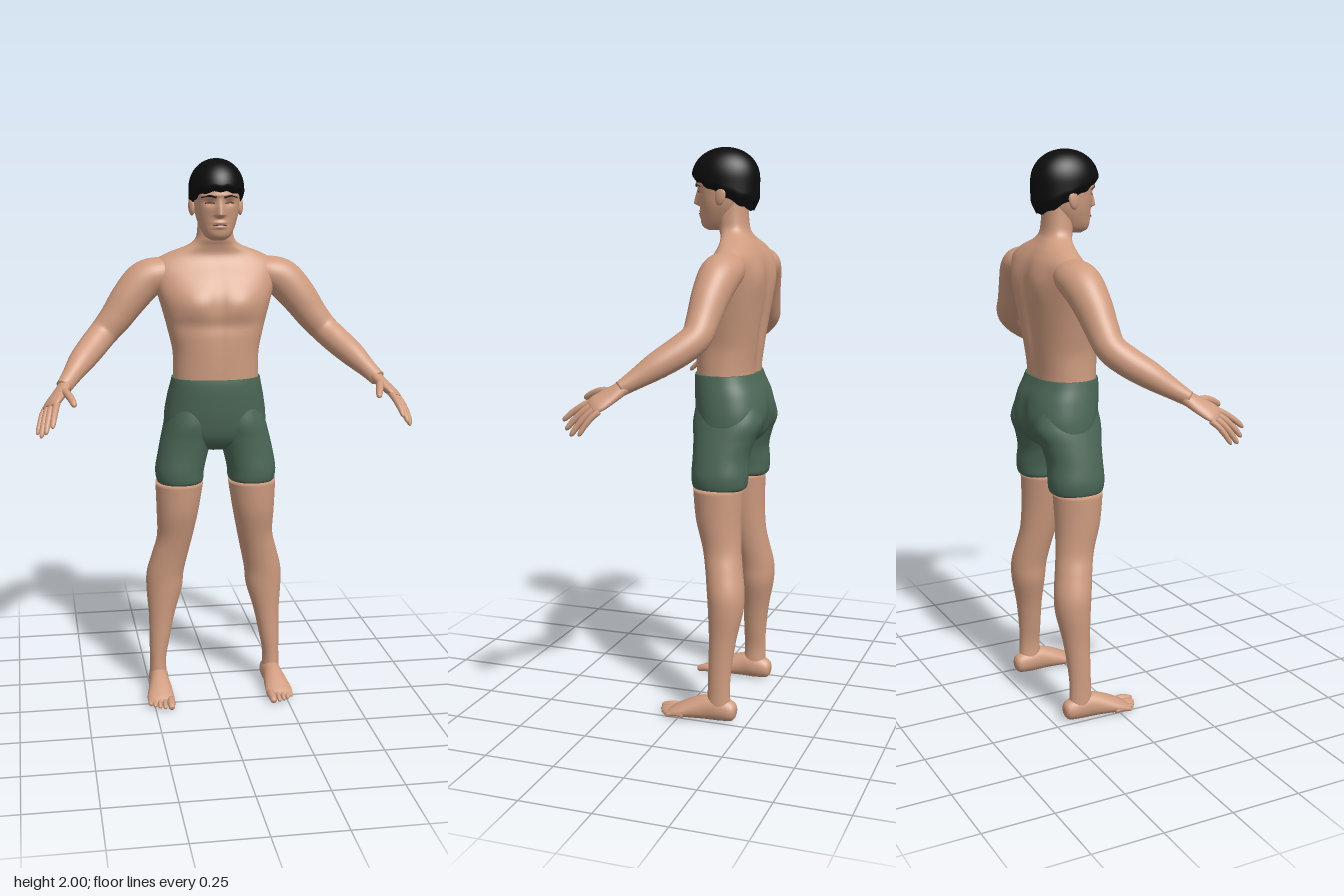
import * as THREE from 'three';

const mat = (name, color) => Object.assign(new THREE.MeshStandardMaterial({ color }), { name });
const gauss = (d, w) => Math.exp(-((d / w) ** 2));
const power = (v, n) => Math.sign(v) * Math.abs(v) ** (2 / n);

// Smooth closed skin over rows x cols points given by f(t, angle), with capped ends
function skin(rows, cols, f) {
  const pos = [], idx = [], point = new THREE.Vector3();
  for (let i = 0; i <= rows; i++) for (let j = 0; j < cols; j++) {
    point.copy(f(i / rows, (j / cols) * Math.PI * 2));
    pos.push(point.x, point.y, point.z);
  }
  for (let i = 0; i < rows; i++) for (let j = 0; j < cols; j++) {
    const k = (j + 1) % cols, a = i * cols + j, b = a + cols, c = i * cols + k, d = c + cols;
    idx.push(a, b, c, b, d, c);
  }
  for (const row of [0, rows]) {
    const centre = new THREE.Vector3(), pole = pos.length / 3, start = row * cols;
    for (let j = 0; j < cols; j++) centre.add(point.fromArray(pos, (start + j) * 3));
    centre.divideScalar(cols);
    pos.push(centre.x, centre.y, centre.z);
    for (let j = 0; j < cols; j++) {
      const a = start + j, b = start + (j + 1) % cols;
      if (row) idx.push(a, pole, b); else idx.push(a, b, pole);
    }
  }
  const g = new THREE.BufferGeometry();
  g.setAttribute('position', new THREE.Float32BufferAttribute(pos, 3));
  g.setIndex(idx);
  g.computeVertexNormals();
  return g;
}

// Catmull-Rom interpolation of whole cross-section rows
function sample(sections, t) {
  const n = sections.length - 1, p = t * n, i = Math.min(Math.floor(p), n - 1), u = p - i;
  const at = k => sections[Math.max(0, Math.min(n, k))];
  return at(i).map((b, k) => {
    const a = at(i - 1)[k], c = at(i + 1)[k], d = at(i + 2)[k];
    return b + 0.5 * u * (c - a + u * (2 * a - 5 * b + 4 * c - d + u * (3 * (b - c) + d - a)));
  });
}

// Level cross-sections [x, y, z, halfWidth, halfDepth], listed from bottom to top
function body(sections, { s = 1, n = 2, rows = 48, cols = 48, shape } = {}) {
  return skin(rows, cols, (t, angle) => {
    const [x, y, z, a, b] = sample(sections, t);
    const v = new THREE.Vector3(s * x + a * power(Math.cos(angle), n), y, z + b * power(Math.sin(angle), n));
    if (shape) shape(v, Math.sin(angle));
    return v;
  });
}

// Cross-sections [x, y, z, a, b] square to their own path; a lies along ref
function limb(sections, ref, s = 1, rows = 32, cols = 28) {
  const centre = t => {
    const [x, y, z] = sample(sections, t);
    return new THREE.Vector3(s * x, y, z);
  };
  return skin(rows, cols, (t, angle) => {
    const [, , , a, b] = sample(sections, t);
    const T = centre(Math.min(1, t + 0.01)).sub(centre(Math.max(0, t - 0.01))).normalize();
    const N = new THREE.Vector3(s * ref[0], ref[1], ref[2]);
    N.addScaledVector(T, -N.dot(T)).normalize();
    const B = new THREE.Vector3().crossVectors(N, T);
    return centre(t).addScaledVector(N, a * Math.cos(angle)).addScaledVector(B, b * Math.sin(angle));
  });
}

// Tapered round finger or toe
function digit(base, tip, r, s, bend = 0.006) {
  const row = (t, k) => [
    ...base.map((v, i) => v + (tip[i] - v) * t + (i === 1 ? bend * Math.sin(t * Math.PI) : 0)), r * k, r * k];
  return limb([row(0, 1), row(0.35, 1), row(0.7, 0.9), row(0.93, 0.72), row(1, 0.25)], [1, 0, 0.3], s, 14, 12);
}

// Profile rows [y, halfWidth, front z, back z] as level cross-sections
const profile = rows => rows.map(([y, w, f, b]) => [0, y, (f + b) / 2, w, (f - b) / 2]);

export function createModel() {
  const model = new THREE.Group();
  const skinTone = mat('skin', 0xcf9c80), cloth = mat('shortsGreen', 0x4b6756);
  const black = mat('hairBlack', 0x0c0c0c), crease = mat('faceCrease', 0x6a4436);
  const add = (name, geometry, material = skinTone) => {
    const mesh = new THREE.Mesh(geometry, material);
    mesh.name = name;
    model.add(mesh);
    return mesh;
  };

  // Torso and neck with chest muscles and a spine groove
  add('torso', body(profile([
    [1.19, 0.156, -0.004, -0.212], [1.25, 0.155, -0.002, -0.215], [1.32, 0.157, 0, -0.225],
    [1.39, 0.172, 0, -0.235], [1.46, 0.19, 0, -0.245], [1.52, 0.207, -0.01, -0.25],
    [1.58, 0.222, -0.04, -0.248], [1.63, 0.225, -0.075, -0.235], [1.665, 0.175, -0.09, -0.215],
    [1.695, 0.1, -0.085, -0.192], [1.72, 0.07, -0.075, -0.178], [1.76, 0.063, -0.07, -0.172],
    [1.82, 0.06, -0.07, -0.17],
  ]), { n: 2.3, rows: 72, cols: 72, shape(v, side) {
    if (side > 0) {
      v.z += side * 0.014 * gauss(Math.abs(v.x) - 0.085, 0.06) * gauss(v.y - 1.495, 0.05);
      v.z -= side * 0.008 * gauss(v.x, 0.02) * gauss(v.y - 1.45, 0.14);
      v.z -= side * 0.006 * gauss(v.y - 1.42, 0.025);
    } else {
      v.z -= side * 0.02 * gauss(v.x, 0.028) * gauss(v.y - 1.42, 0.17);
      v.z += side * 0.008 * gauss(Math.abs(v.x) - 0.1, 0.045) * gauss(v.y - 1.56, 0.06);
    }
  } }));

  // Head with sockets, nose, lips and chin
  add('head', body(profile([
    [1.718, 0.02, -0.03, -0.07], [1.728, 0.04, -0.012, -0.11], [1.745, 0.053, -0.004, -0.13],
    [1.775, 0.066, -0.003, -0.15], [1.805, 0.075, 0, -0.165], [1.84, 0.08, 0.006, -0.175],
    [1.88, 0.083, 0.01, -0.18], [1.92, 0.08, 0.005, -0.18], [1.96, 0.055, -0.03, -0.15],
  ]), { n: 2.1, rows: 80, cols: 96, shape(v, side) {
    if (side < 0.3) return;
    const { x, y } = v;
    const ramp = y > 1.808 ? Math.max(0, (1.868 - y) / 0.06) : Math.max(0, 1 - (1.808 - y) / 0.012);
    v.z += 0.026 * gauss(x, 0.009 + 0.005 * ramp) * ramp;
    v.z -= 0.01 * gauss(Math.abs(x) - 0.034, 0.018) * gauss(y - 1.85, 0.012);
    v.z += 0.004 * gauss(y - 1.875, 0.008);
    v.z += 0.007 * gauss(x, 0.022) * (gauss(y - 1.781, 0.006) + gauss(y - 1.766, 0.006));
  } }));
  add('mouth', limb([
    [-0.024, 1.772, -0.003, 0.002, 0.002], [0, 1.774, 0.003, 0.002, 0.003], [0.024, 1.772, -0.003, 0.002, 0.002],
  ], [0, 1, 0], 1, 12, 8), crease);

  // Short hair, its edge high at the brow and low at the nape
  add('hair', skin(40, 72, (t, angle) => {
    const front = Math.sin(angle);
    const edge = (front > 0 ? 1.845 + 0.045 * front : 1.845 + 0.06 * front) + 0.003 * Math.sin(angle * 11);
    const y = edge + (2 - edge) * Math.sin(t * Math.PI / 2);
    const dome = Math.sqrt(Math.max(0, 1 - Math.max(0, (y - 1.89) / 0.11) ** 2.2));
    const lip = 1 - 0.13 * Math.max(0, 1 - t * 9) - 0.7 * Math.max(0, 1.84 - y);
    const r = dome * lip;
    return new THREE.Vector3(0.098 * r * Math.cos(angle), y, -0.091 + 0.121 * r * front);
  }), black);

  // Shorts: seat with a cleft behind
  add('shortsSeat', body(profile([
    [0.955, 0.05, -0.07, -0.16], [0.98, 0.14, -0.04, -0.21], [1.02, 0.183, -0.018, -0.243],
    [1.08, 0.187, -0.006, -0.262], [1.15, 0.177, 0.001, -0.25], [1.2, 0.166, 0.003, -0.228],
    [1.225, 0.161, 0.001, -0.218],
  ]), { n: 2.4, cols: 64, shape(v, side) {
    if (side < 0) v.z -= side * 0.03 * gauss(v.x, 0.022) * gauss(v.y - 1.04, 0.08);
  } }), cloth);

  for (const s of [1, -1]) {
    const side = s > 0 ? 'left' : 'right';

    // Face details and ear
    add(side + 'Eyebrow', limb([
      [0.014, 1.869, 0.011, 0.004, 0.004], [0.037, 1.874, 0.002, 0.004, 0.004], [0.062, 1.867, -0.02, 0.002, 0.003],
    ], [0, 1, 0], s, 12, 8), black);
    add(side + 'EyeLine', limb([
      [0.019, 1.848, 0.001, 0.002, 0.003], [0.034, 1.851, -0.006, 0.003, 0.003], [0.051, 1.848, -0.014, 0.002, 0.003],
    ], [0, 1, 0], s, 12, 8), crease);
    const ear = add(side + 'Ear', new THREE.SphereGeometry(1, 20, 14));
    ear.scale.set(0.011, 0.034, 0.02);
    ear.position.set(s * 0.086, 1.836, -0.1);
    ear.rotation.set(-0.15, s * -0.3, 0);

    // Shorts leg with a rolled hem
    add(side + 'ShortsLeg', body([
      [0.135, 0.828, -0.118, 0.076, 0.085], [0.134, 0.84, -0.118, 0.086, 0.096],
      [0.134, 0.88, -0.118, 0.09, 0.1], [0.122, 0.94, -0.118, 0.092, 0.099],
      [0.107, 1.0, -0.125, 0.094, 0.109], [0.094, 1.06, -0.133, 0.092, 0.123], [0.085, 1.13, -0.13, 0.08, 0.11],
    ], { s, n: 2.2 }), cloth);

    // Bare leg: ankle, calf, knee, thigh
    add(side + 'Leg', body([
      [0.219, 0.04, -0.145, 0.034, 0.044], [0.22, 0.12, -0.145, 0.031, 0.04], [0.213, 0.2, -0.147, 0.038, 0.042],
      [0.203, 0.3, -0.153, 0.049, 0.049], [0.192, 0.4, -0.16, 0.067, 0.062], [0.187, 0.47, -0.158, 0.07, 0.066],
      [0.168, 0.55, -0.145, 0.068, 0.066], [0.152, 0.62, -0.132, 0.067, 0.069],
      [0.143, 0.72, -0.117, 0.078, 0.081], [0.136, 0.832, -0.113, 0.089, 0.089],
    ], { s }));

    // Foot and toes
    add(side + 'Foot', limb([
      [0.218, 0.035, -0.208, 0.015, 0.018], [0.218, 0.037, -0.195, 0.03, 0.034], [0.218, 0.045, -0.15, 0.037, 0.045],
      [0.22, 0.045, -0.1, 0.037, 0.045], [0.222, 0.036, -0.05, 0.044, 0.036], [0.225, 0.024, 0, 0.05, 0.023],
      [0.224, 0.017, 0.025, 0.047, 0.016], [0.222, 0.014, 0.04, 0.038, 0.01],
    ], [1, 0, 0], s));
    for (let i = 0; i < 5; i++) {
      const x = [0.19, 0.213, 0.231, 0.248, 0.264][i], z = [0.08, 0.076, 0.068, 0.056, 0.04][i];
      add(side + 'Toe' + (i + 1), digit([x, 0.018, z - 0.065], [x + 0.003, 0.011, z], i ? 0.0095 : 0.015, s));
    }

    // Arm: shoulder, elbow, wrist
    add(side + 'Arm', limb([
      [0.13, 1.6, -0.155, 0.05, 0.045], [0.2, 1.592, -0.155, 0.07, 0.062], [0.255, 1.568, -0.15, 0.07, 0.07],
      [0.31, 1.508, -0.14, 0.063, 0.066], [0.36, 1.44, -0.133, 0.055, 0.058], [0.405, 1.388, -0.125, 0.05, 0.052],
      [0.445, 1.348, -0.085, 0.05, 0.05], [0.49, 1.305, -0.025, 0.045, 0.045],
      [0.53, 1.262, 0.035, 0.033, 0.033], [0.558, 1.232, 0.078, 0.023, 0.028],
    ], [0, 0, 1], s, 56, 36));

    // Palm, fingers and thumb
    add(side + 'Palm', limb([
      [0.55, 1.24, 0.065, 0.026, 0.021], [0.575, 1.212, 0.105, 0.036, 0.019],
      [0.6, 1.188, 0.14, 0.041, 0.016], [0.611, 1.177, 0.156, 0.034, 0.009],
    ], [0.045, -0.03, -0.03], s));
    const fingers = [
      [[0.582, 1.196, 0.15], [0.604, 1.127, 0.258]], [[0.6, 1.186, 0.148], [0.626, 1.102, 0.238]],
      [[0.614, 1.176, 0.138], [0.642, 1.086, 0.215]], [[0.625, 1.168, 0.122], [0.654, 1.09, 0.182]],
    ];
    fingers.forEach(([a, b], i) => add(side + 'Finger' + (i + 1), digit(a, b, i === 3 ? 0.01 : 0.0115, s, 0.01)));
    add(side + 'Thumb', digit([0.562, 1.222, 0.1], [0.526, 1.19, 0.215], 0.014, s, 0.012));
  }
  return model;
}
